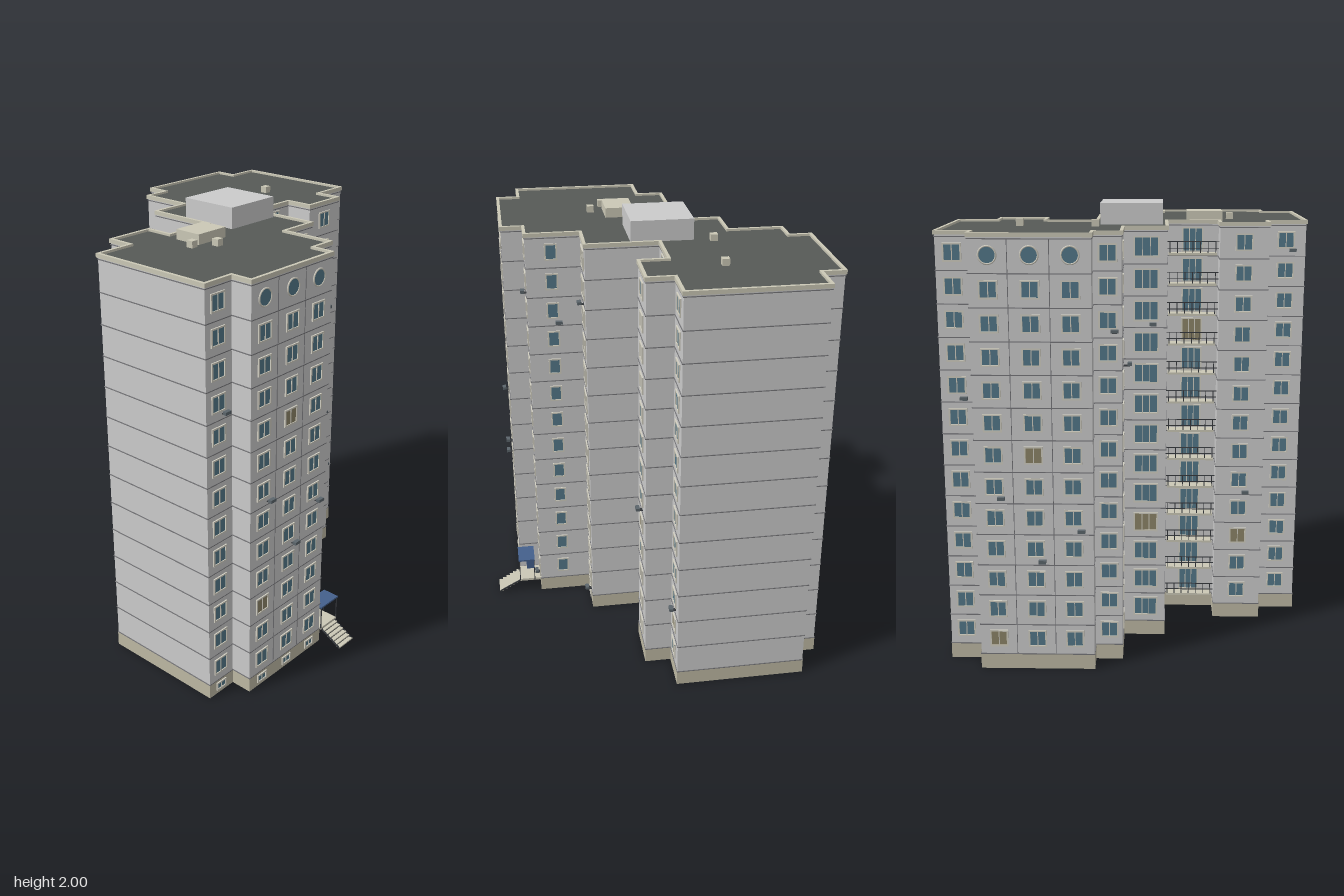
import * as THREE from 'three';
import { mergeGeometries } from 'three/addons/utils/BufferGeometryUtils.js';

const mat = (color) => new THREE.MeshStandardMaterial({ color });
const M = {
  wall: mat(0xcccccc), stone: mat(0xcbc8b6), plinth: mat(0xbeb9a4), roof: mat(0x565a57),
  seam: mat(0x77777a), glass: mat(0x54788a), lit: mat(0x8c8468), frame: mat(0xd2cfc2),
  metal: mat(0x35383c), unit: mat(0x5c666c), blue: mat(0x44608c),
};

const FLOORS = 13, PITCH = 0.14, BASE = 0.07, TOP = BASE + FLOORS * PITCH;
const CENTER_Z = -0.04; // the plan repeats when turned half round this axis

// Half of the stepped plan as [x, z]; the other half is its half turn
const HALF = [[-0.8, -0.05], [-0.8, 0.54], [-0.65, 0.54], [-0.65, 0.64], [-0.15, 0.64], [-0.15, 0.54], [-0.03, 0.54],
  [-0.03, 0.29], [0.16, 0.29], [0.16, -0.04], [0.4, -0.04], [0.4, 0.09], [0.62, 0.09], [0.62, -0.03]];
const PLAN = [...HALF, ...HALF.map(([x, z]) => [-x, 2 * CENTER_Z - z])].map(([x, z]) => new THREE.Vector2(x, -z));

// Plan moved outward by d
function offsetPlan(d) {
  const n = PLAN.length;
  return PLAN.map((p, i) => {
    const a = p.clone().sub(PLAN[(i + n - 1) % n]).normalize();
    const b = PLAN[(i + 1) % n].clone().sub(p).normalize();
    return new THREE.Vector2(p.x + d * (a.y + b.y), p.y - d * (a.x + b.x));
  });
}

// Slab, or ring when inner is given, following the plan
function planLayer(y0, y1, outer, inner) {
  const s = new THREE.Shape(offsetPlan(outer));
  if (inner !== undefined) s.holes.push(new THREE.Path(offsetPlan(inner)));
  return new THREE.ExtrudeGeometry(s, { depth: y1 - y0, bevelEnabled: false })
    .rotateX(-Math.PI / 2).translate(0, y0, 0);
}

const box = (x0, x1, y0, y1, z0, z1) => new THREE.BoxGeometry(x1 - x0, y1 - y0, z1 - z0)
  .translate((x0 + x1) / 2, (y0 + y1) / 2, (z0 + z1) / 2);

function rectPath(C, w, h) {
  const p = new C();
  p.moveTo(-w / 2, -h / 2).lineTo(w / 2, -h / 2).lineTo(w / 2, h / 2).lineTo(-w / 2, h / 2).closePath();
  return p;
}

// Collects geometries by part name and merges each into one mesh
class Parts {
  constructor() { this.map = new Map(); }
  add(name, material, ...geos) {
    if (!this.map.has(name)) this.map.set(name, { material, list: [] });
    for (const g of geos) this.map.get(name).list.push(g.index ? g.toNonIndexed() : g);
  }
  build(name) {
    const group = new THREE.Group();
    group.name = name;
    for (const [n, { material, list }] of this.map) {
      const mesh = new THREE.Mesh(mergeGeometries(list), material);
      mesh.name = n;
      group.add(mesh);
    }
    return group;
  }
}

// Window facing +z, turned by rot and placed on the wall
function addWindow(parts, x, y, z, w, h, { rot = 0, panes = 2, lit = false } = {}) {
  const place = (g) => g.rotateY(rot).translate(x, y, z);
  const s = rectPath(THREE.Shape, w + 0.014, h + 0.014);
  s.holes.push(rectPath(THREE.Path, w, h));
  parts.add('windowFrames', M.frame, place(new THREE.ExtrudeGeometry(s, { depth: 0.006, bevelEnabled: false })));
  for (let i = 1; i < panes; i++) {
    const mx = -w / 2 + (w * i) / panes;
    parts.add('windowFrames', M.frame, place(box(mx - 0.002, mx + 0.002, -h / 2, h / 2, 0, 0.005)));
  }
  parts.add(lit ? 'curtainedPanes' : 'windowPanes', lit ? M.lit : M.glass,
    place(box(-w / 2, w / 2, -h / 2, h / 2, -0.002, 0.002)));
}

function addRoundWindow(parts, x, y, z) {
  parts.add('windowFrames', M.frame, new THREE.TorusGeometry(0.036, 0.004, 6, 28).translate(x, y, z + 0.002));
  parts.add('windowPanes', M.glass,
    new THREE.CylinderGeometry(0.035, 0.035, 0.006, 28).rotateX(Math.PI / 2).translate(x, y, z));
}

// Balcony slab with a railing of bars and posts
function addBalcony(parts, y) {
  parts.add('balconySlabs', M.stone, box(0.17, 0.39, y, y + 0.01, -0.04, 0.018));
  const bar = 0.0018, zr = 0.015;
  for (const dy of [0.032, 0.062])
    parts.add('balconyRailings', M.metal, box(0.162, 0.4, y + dy - bar, y + dy + bar, zr - bar, zr + bar));
  for (const x of [0.175, 0.21, 0.245, 0.28, 0.315, 0.35, 0.385])
    parts.add('balconyRailings', M.metal, box(x - bar, x + bar, y + 0.01, y + 0.064, zr - bar, zr + bar));
}

// One half of the facades: columns are [x, wall z, width, height, panes, curtained floor]
const COLUMNS = [[-0.73, 0.54, 0.066, 0.064, 2, -1], [-0.57, 0.64, 0.066, 0.064, 2, 2], [-0.4, 0.64, 0.066, 0.064, 2, 8],
  [-0.235, 0.64, 0.066, 0.064, 2, -1], [-0.088, 0.54, 0.066, 0.064, 2, -1], [0.07, 0.29, 0.098, 0.078, 3, 5],
  [0.28, -0.04, 0.085, 0.1, 3, 11], [0.51, 0.09, 0.066, 0.064, 2, 4], [0.71, -0.03, 0.066, 0.064, 2, 1]];

function buildFacade(name, isFront, units) {
  const parts = new Parts();
  for (let f = 0; f < FLOORS; f++) {
    const y = BASE + PITCH * (f + 0.5) + 0.005;
    COLUMNS.forEach(([x, z, w, h, panes, litFloor], c) => {
      if (isFront && f === 0 && c === 4) return; // entrance door goes here
      if (f === FLOORS - 1 && c >= 1 && c <= 3) addRoundWindow(parts, x, y, z);
      else addWindow(parts, x, y, z, w, h, { panes, lit: f === litFloor - (isFront ? 0 : 2) });
    });
    addWindow(parts, -0.03, y, 0.425, 0.044, 0.064, { rot: Math.PI / 2, panes: 1 });
    addBalcony(parts, BASE + PITCH * f + 0.008);
  }
  if (isFront) for (const c of [0, 1, 2, 3, 5])
    addWindow(parts, COLUMNS[c][0], 0.038, COLUMNS[c][1] + 0.002, 0.046, 0.026);
  // vertical panel joints
  for (const [x, z] of [[-0.49, 0.64], [-0.32, 0.64]])
    parts.add('panelJoints', M.seam, box(x - 0.0015, x + 0.0015, BASE, TOP, z - 0.002, z + 0.0015));
  // cooling units on short brackets
  for (const [x, y, z, sideways] of units) {
    const [a, b] = sideways ? [0.009, 0.016] : [0.016, 0.009];
    parts.add('coolingUnits', M.unit, box(x - a, x + a, y - 0.007, y + 0.007, z - b, z + b));
    parts.add('unitBrackets', M.metal, sideways
      ? box(x - 0.026, x, y - 0.009, y - 0.006, z - 0.01, z + 0.01)
      : box(x - 0.01, x + 0.01, y - 0.009, y - 0.006, z - 0.022, z));
  }
  return parts.build(name);
}

// Door, landing, stairs and canopy
function buildEntrance() {
  const p = new Parts();
  addWindow(p, -0.088, 0.126, 0.54, 0.08, 0.1);
  p.add('landing', M.stone, box(-0.145, -0.03, 0.062, 0.074, 0.54, 0.65));
  const steps = 6;
  for (let i = 0; i < steps; i++) {
    const z = 0.645 + i * 0.0185, y = 0.062 - i * 0.0105;
    p.add('stairTreads', M.stone, box(-0.138, -0.038, y - 0.006, y, z, z + 0.02));
  }
  for (const x of [-0.138, -0.038]) {
    const g = new THREE.BoxGeometry(0.004, 0.008, 0.125).rotateX(Math.atan2(0.06, 0.11)).translate(x, 0.034, 0.7);
    p.add('stairStringers', M.metal, g);
  }
  p.add('canopyRoof', M.blue, box(-0.15, -0.024, 0.184, 0.192, 0.57, 0.652));
  p.add('canopySidePanel', M.blue, box(-0.03, -0.026, 0.138, 0.186, 0.574, 0.612));
  for (const x of [-0.146, -0.028]) for (const z of [0.574, 0.648])
    p.add('canopyPosts', M.metal, box(x - 0.002, x + 0.002, 0.07, 0.186, z - 0.002, z + 0.002));
  return p.build('entrance');
}

function buildBody() {
  const p = new Parts();
  p.add('plinth', M.plinth, planLayer(0, BASE, 0.002));
  p.add('walls', M.wall, planLayer(BASE, 1.898, 0));
  for (let f = 0; f <= FLOORS; f++) {
    const y = BASE + PITCH * f;
    p.add('floorJoints', M.seam, planLayer(y - 0.002, y + 0.002, 0.003, -0.002));
  }
  p.add('roofDeck', M.roof, planLayer(1.898, 1.905, -0.002));
  p.add('parapet', M.stone, planLayer(1.897, 1.915, 0.006, -0.008));
  return p.build('body');
}

function buildRoofHouses() {
  const p = new Parts();
  p.add('liftHouse', M.wall, box(-0.142, 0.138, 1.9, 2, -0.195, 0.085));
  p.add('stairHatch', M.stone, box(-0.42, -0.255, 1.9, 1.95, 0.02, 0.15));
  for (const [x, z] of [[-0.46, 0.15], [-0.37, 0.21], [0.155, -0.28], [0.49, -0.26]])
    p.add('roofVents', M.stone, box(x - 0.016, x + 0.016, 1.9, 1.935, z - 0.016, z + 0.016));
  return p.build('roofHouses');
}

export function createModel() {
  const model = new THREE.Group();
  model.name = 'apartmentTower';
  const front = buildFacade('frontFacade', true, [[-0.7, 1.36, 0.56], [-0.54, 0.935, 0.665], [-0.37, 0.655, 0.665],
    [-0.21, 0.8, 0.665], [-0.06, 1.635, 0.56], [-0.06, 0.1, 0.56], [0, 1.495, 0.4, true], [0.11, 1.63, 0.315],
    [0.11, 0.09, 0.315], [0.54, 0.8, 0.115], [0.735, 0.38, -0.008]]);
  const back = buildFacade('backFacade', false, [[-0.7, 1.21, 0.56], [-0.54, 0.8, 0.665], [-0.37, 0.515, 0.665],
    [-0.2, 0.655, 0.665], [-0.06, 1.5, 0.56], [0, 1.33, 0.4, true], [0.1, 1.49, 0.32],
    [0.54, 0.65, 0.115], [0.74, 1.78, -0.008]]);
  back.rotation.y = Math.PI;
  back.position.z = 2 * CENTER_Z;
  model.add(buildBody(), front, back, buildEntrance(), buildRoofHouses());
  return model;
}
